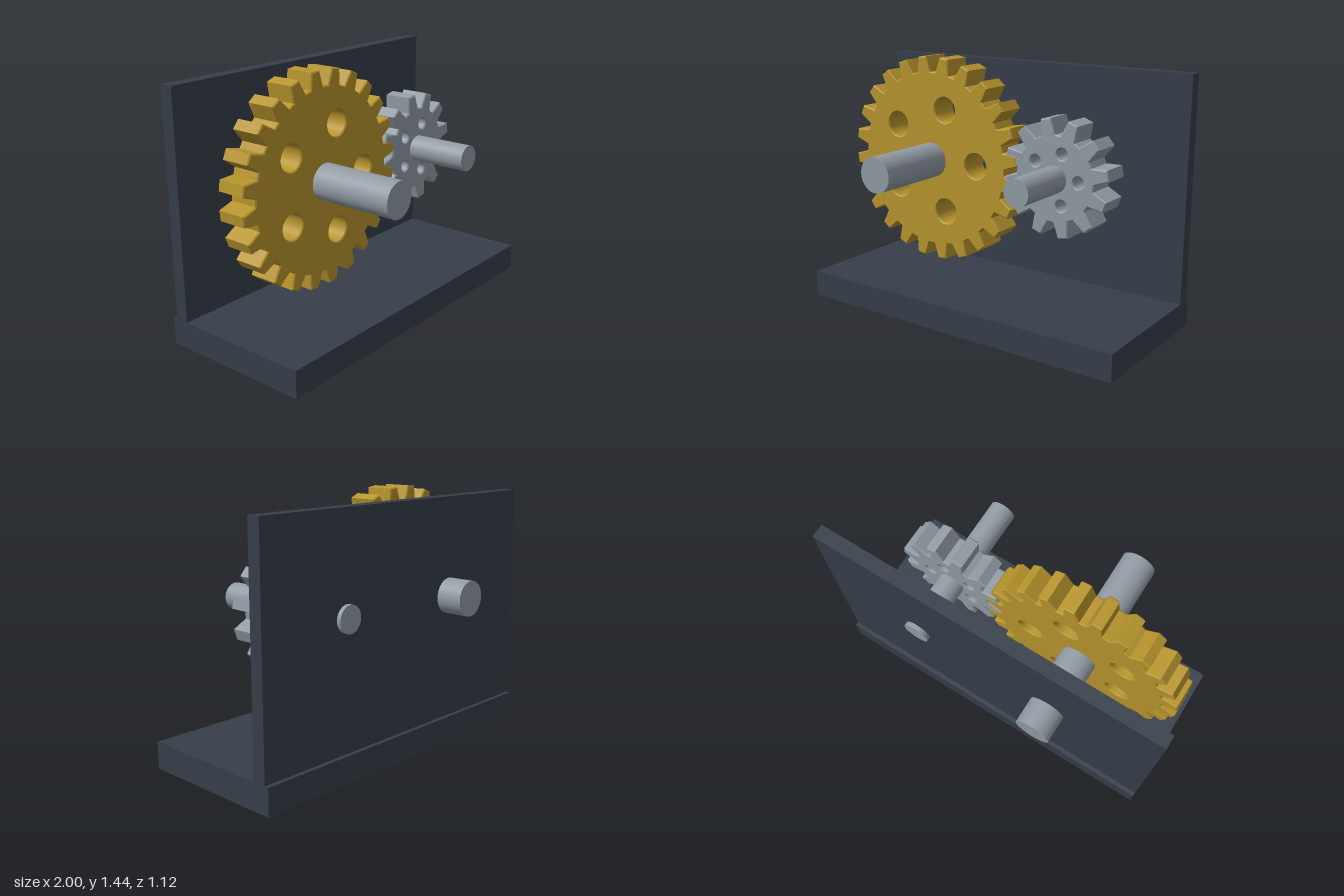
import * as THREE from 'three';

const material = (name, color) => {
  const m = new THREE.MeshStandardMaterial({ color });
  m.name = name;
  return m;
};

// Spur gear: straight-flanked teeth, a ring of five holes, slightly bevelled rims
function gearGeometry({ teeth, phase, tip, root, tipHalf, rootHalf, holeRing, holeRadius, halfDepth }) {
  const rad = THREE.MathUtils.degToRad;
  const polar = (r, deg) => new THREE.Vector2(r * Math.cos(rad(deg)), r * Math.sin(rad(deg)));
  const points = [];
  for (let i = 0; i < teeth; i++) {
    const a = phase + (i * 360) / teeth;
    points.push(polar(root, a - rootHalf), polar(tip, a - tipHalf), polar(tip, a + tipHalf), polar(root, a + rootHalf));
  }
  const shape = new THREE.Shape(points);
  for (let i = 0; i < 5; i++) {
    const c = polar(holeRing, i * 72);
    const hole = new THREE.Path();
    hole.absarc(c.x, c.y, holeRadius, 0, Math.PI * 2, true);
    shape.holes.push(hole);
  }
  const bevel = 0.006;
  const geometry = new THREE.ExtrudeGeometry(shape, {
    depth: 2 * (halfDepth - bevel), curveSegments: 32,
    bevelEnabled: true, bevelThickness: bevel, bevelSize: bevel, bevelOffset: -bevel, bevelSegments: 1,
  });
  return geometry.translate(0, 0, bevel - halfDepth);
}

export function createModel() {
  const slate = material('dark slate', 0x373e4a);
  const gold = material('brass gold', 0xb8952d);
  const steel = material('steel grey', 0x929ca5);
  const model = new THREE.Group();
  model.name = 'gearStand';

  const add = (name, geometry, mat, x, y, z) => {
    const mesh = new THREE.Mesh(geometry, mat);
    mesh.name = name;
    mesh.position.set(x, y, z);
    model.add(mesh);
  };
  const shaft = (radius, length) => new THREE.CylinderGeometry(radius, radius, length, 48).rotateX(Math.PI / 2);

  // Stand
  add('base', new THREE.BoxGeometry(2, 0.15, 0.872), slate, 0, 0.075, 0);
  add('backPlate', new THREE.BoxGeometry(2, 1.25, 0.076), slate, 0, 0.775, -0.374);

  const axleY = 0.853, largeX = -0.376, smallX = 0.442;

  // Gears
  add('largeGear', gearGeometry({
    teeth: 24, phase: 6, tip: 0.588, root: 0.502, tipHalf: 2.8, rootHalf: 5.3,
    holeRing: 0.308, holeRadius: 0.072, halfDepth: 0.086,
  }), gold, largeX, axleY, 0);
  add('smallGear', gearGeometry({
    teeth: 12, phase: 10.5, tip: 0.322, root: 0.236, tipHalf: 5.4, rootHalf: 10.8,
    holeRing: 0.145, holeRadius: 0.032, halfDepth: 0.084,
  }), steel, smallX, axleY, 0);

  // Shafts, running through the gears and the back plate
  add('largeShaft', shaft(0.099, 1.124), steel, largeX, axleY, 0);
  add('smallShaft', shaft(0.074, 0.872), steel, smallX, axleY, 0);

  return model;
}
